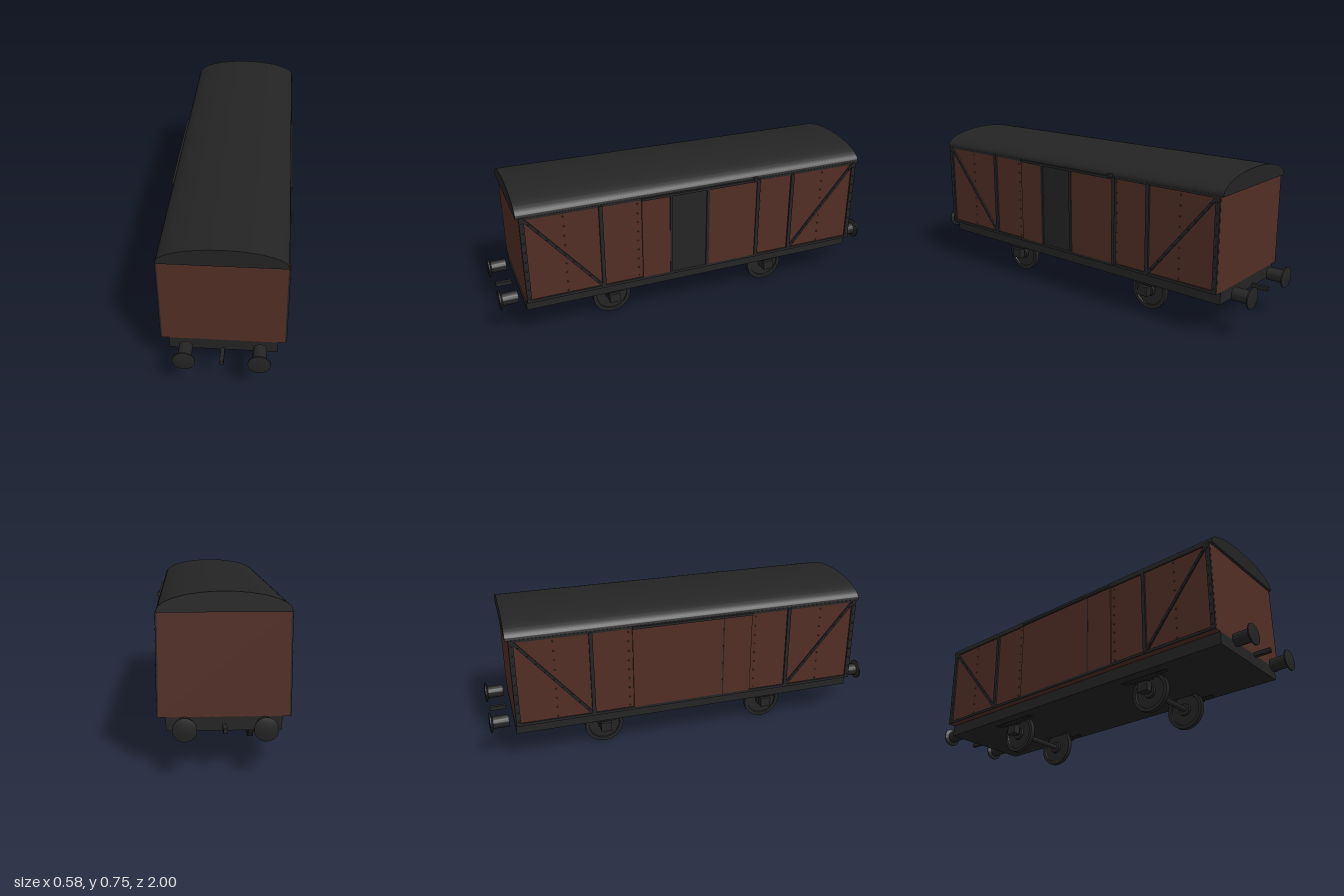
import * as THREE from 'three';
import { mergeGeometries, toCreasedNormals } from 'three/addons/utils/BufferGeometryUtils.js';

const paint = new THREE.MeshStandardMaterial({ color: 0x522e25 });
paint.name = 'brown paint';
const iron = new THREE.MeshStandardMaterial({ color: 0x242424 });
iron.name = 'dark iron';

function add(parent, name, geometry, material, x = 0, y = 0, z = 0) {
  const mesh = new THREE.Mesh(geometry, material);
  mesh.name = name;
  mesh.position.set(x, y, z);
  parent.add(mesh);
  return mesh;
}

const box = (w, h, d) => new THREE.BoxGeometry(w, h, d);

// Turned part: [radius, position] profile revolved around the x or z axis
function turned(points, axis, segments = 32) {
  const g = new THREE.LatheGeometry(points.map(p => new THREE.Vector2(...p)), segments);
  if (axis === 'x') g.rotateZ(-Math.PI / 2);
  else g.rotateX(Math.PI / 2);
  return toCreasedNormals(g, 0.6);
}

// Arched roof extruded along the wagon
function roofGeometry() {
  const shape = new THREE.Shape();
  shape.moveTo(-0.276, 0.664);
  shape.lineTo(0.276, 0.664);
  shape.lineTo(0.276, 0.67);
  shape.absellipse(0, 0.67, 0.276, 0.079, 0, Math.PI, false);
  const g = new THREE.ExtrudeGeometry(shape, { depth: 1.786, bevelEnabled: false, curveSegments: 32 });
  g.translate(0, 0, -0.893);
  return toCreasedNormals(g, 0.6);
}

// Framing, doors and rivets of one long side (s = +1 left, -1 right)
function buildSide(s) {
  const side = new THREE.Group();
  side.name = s > 0 ? 'leftSide' : 'rightSide';
  const rivetSpots = [];

  add(side, 'bottomRail', box(0.008, 0.014, 1.76), iron, s * 0.276, 0.232, 0);
  add(side, 'topRail', box(0.006, 0.012, 1.76), iron, s * 0.275, 0.662, 0);

  for (const e of [1, -1]) {
    add(side, 'cornerPost', box(0.01, 0.44, 0.022), iron, s * 0.276, 0.446, e * 0.868);
    add(side, 'framePost', box(0.01, 0.43, 0.018), iron, s * 0.277, 0.447, e * 0.505);
    // Diagonal brace from the top corner down to the frame post
    const dz = 0.343, dy = 0.41;
    const brace = add(side, 'diagonalBrace', box(0.008, Math.hypot(dz, dy), 0.014), iron, s * 0.276, 0.448, e * 0.686);
    brace.rotation.x = e * Math.atan2(dz, dy);

    for (let i = 0; i < 9; i++) {
      const y = 0.25 + i * 0.0488;
      rivetSpots.push([0.274, y, e * 0.68], [0.274, y, e * 0.325], [0.281, y, e * 0.868]);
      const t = (i + 0.5) / 9 - 0.5;
      rivetSpots.push([0.28, 0.448 + t * dy, e * (0.686 + t * dz)]);
    }
  }

  // Sliding door leaves
  const leaves = s > 0 ? [[0.16, 0.305], [-0.305, -0.035]] : [[0.16, 0.305], [-0.305, 0.155]];
  for (const [a, b] of leaves) {
    add(side, 'doorLeaf', box(0.008, 0.42, b - a), paint, s * 0.276, 0.448, (a + b) / 2);
  }
  if (s > 0) {
    add(side, 'darkDoorPanel', box(0.006, 0.425, 0.19), iron, 0.275, 0.449, 0.0625);
    add(side, 'panelEdge', box(0.012, 0.425, 0.012), iron, 0.278, 0.449, 0.157);
    add(side, 'panelEdge', box(0.012, 0.425, 0.014), iron, 0.278, 0.449, -0.036);
    add(side, 'doorPost', box(0.012, 0.43, 0.018), iron, 0.279, 0.447, -0.31);
    add(side, 'doorStop', box(0.016, 0.018, 0.018), iron, 0.284, 0.669, -0.29);
  } else {
    add(side, 'doorSeam', box(0.009, 0.42, 0.006), iron, -0.2762, 0.448, 0.157);
  }
  add(side, 'doorRunner', box(0.012, 0.012, 0.61), iron, s * 0.281, 0.66, 0);

  const rivets = rivetSpots.map(([x, y, z]) => new THREE.SphereGeometry(0.004, 6, 4).translate(s * x, y, z));
  add(side, 'rivets', mergeGeometries(rivets), iron);
  return side;
}

// Axle with two wheels, axle boxes and leaf springs
function buildWheelset() {
  const set = new THREE.Group();
  set.name = 'wheelset';
  add(set, 'axle', turned([[0, -0.173], [0.013, -0.173], [0.013, 0.173], [0, 0.173]], 'x', 20), iron, 0, 0.098, 0);
  const wheel = turned([
    [0, -0.017], [0.03, -0.017], [0.032, -0.006], [0.078, -0.006], [0.08, -0.012], [0.098, -0.012],
    [0.098, 0.012], [0.08, 0.012], [0.078, 0.006], [0.032, 0.006], [0.03, 0.017], [0, 0.017]], 'x');
  for (const s of [1, -1]) {
    add(set, 'wheel', wheel, iron, s * 0.145, 0.098, 0);
    add(set, 'axleBox', box(0.034, 0.048, 0.054), iron, s * 0.194, 0.107, 0);
    for (let i = 0; i < 4; i++) {
      add(set, 'springLeaf', box(0.02, 0.0045, 0.26 - i * 0.055), iron, s * 0.194, 0.156 - i * 0.0055, 0);
    }
  }
  return set;
}

export function createModel() {
  const wagon = new THREE.Group();
  wagon.name = 'coveredWagon';
  const body = new THREE.Group();
  body.name = 'wagonBody';
  body.position.x = -0.002;
  wagon.add(body);

  add(body, 'bodyShell', box(0.546, 0.443, 1.76), paint, 0, 0.4465, 0);
  add(body, 'roof', roofGeometry(), iron);
  add(body, 'chassis', box(0.484, 0.06, 1.76), iron, 0, 0.196, 0);
  body.add(buildSide(1), buildSide(-1));

  for (const z of [0.435, -0.435]) {
    const set = buildWheelset();
    set.position.z = z;
    body.add(set);
  }

  // Buffers and coupling hooks at both ends
  const buffer = turned([
    [0, 0.906], [0.031, 0.906], [0.031, 0.982], [0.05, 0.99], [0.05, 0.996], [0.03, 1], [0, 1]], 'z');
  for (const e of [1, -1]) {
    const end = new THREE.Group();
    end.name = e > 0 ? 'frontEnd' : 'backEnd';
    end.rotation.y = e > 0 ? 0 : Math.PI;
    for (const s of [1, -1]) add(end, 'buffer', buffer, iron, s * 0.164, 0.204, 0);
    add(end, 'couplingHook', box(0.018, 0.02, 0.08), iron, 0, 0.195, 0.946);
    body.add(end);
  }
  return wagon;
}
